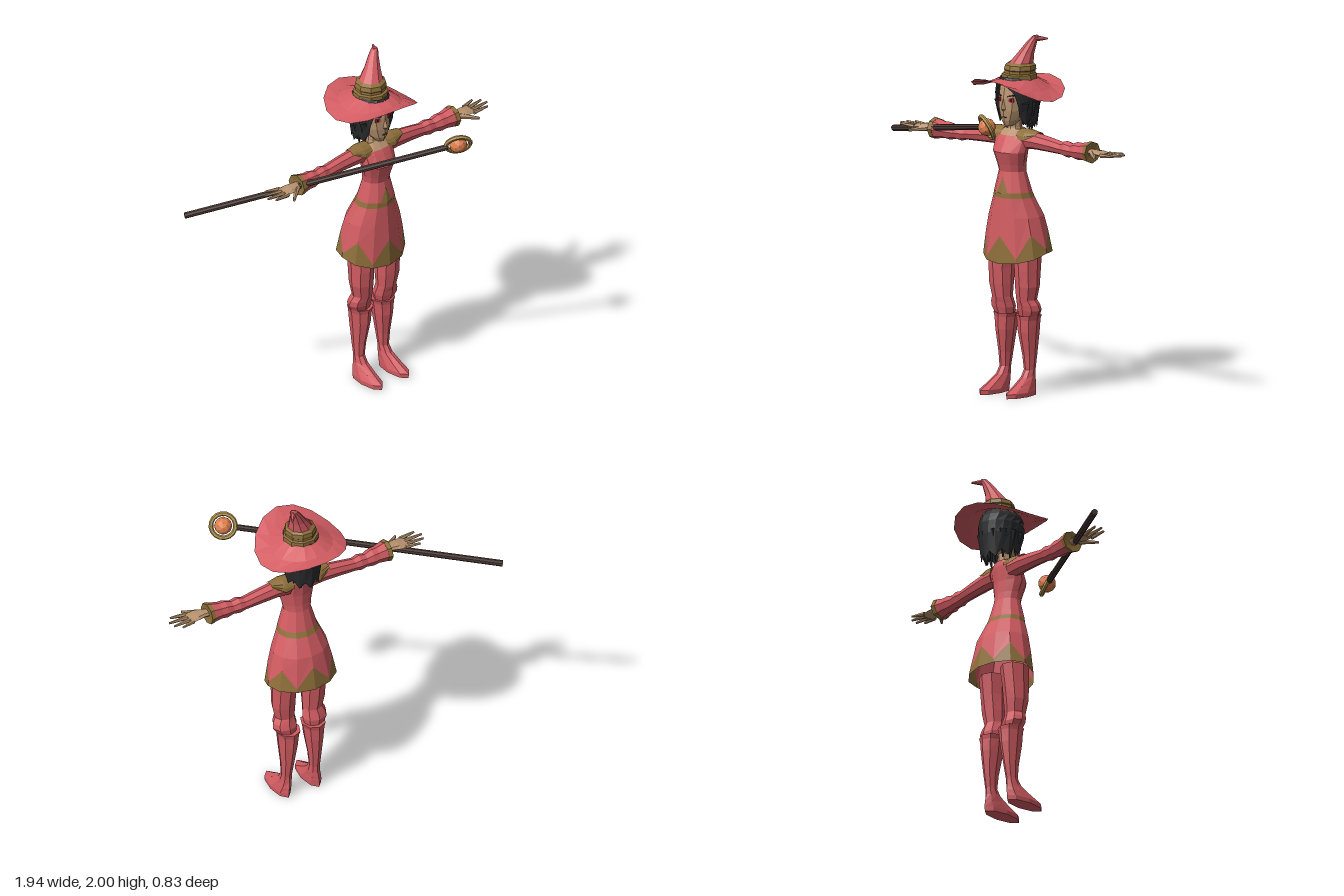
import * as THREE from 'three';

const mat = (name, color) => new THREE.MeshStandardMaterial({ name, color, side: THREE.DoubleSide });
const V = (x, y, z) => new THREE.Vector3(x, y, z);
const rad = THREE.MathUtils.degToRad;

// Faceted copy of a geometry
function flat(geo) {
  const g = geo.index ? geo.toNonIndexed() : geo;
  g.computeVertexNormals();
  return g;
}

// Skin of quads through rows of points; s = -1 mirrors it in x
function loft(rows, { cap = false, s = 1 } = {}) {
  const p = [];
  const tri = (a, b, c) => (s > 0 ? [a, b, c] : [a, c, b]).forEach(v => p.push(v.x * s, v.y, v.z));
  for (let j = 0; j < rows.length - 1; j++) {
    for (let i = 0; i < rows[j].length - 1; i++) {
      const a = rows[j][i], b = rows[j][i + 1], c = rows[j + 1][i + 1], d = rows[j + 1][i];
      tri(a, b, c); tri(a, c, d);
    }
  }
  if (cap) [[rows[0], true], [rows.at(-1), false]].forEach(([r, low]) => {
    const m = V(0, 0, 0);
    r.slice(1).forEach(v => m.addScaledVector(v, 1 / (r.length - 1)));
    for (let i = 0; i < r.length - 1; i++) low ? tri(m, r[i + 1], r[i]) : tri(m, r[i], r[i + 1]);
  });
  const g = new THREE.BufferGeometry();
  g.setAttribute('position', new THREE.Float32BufferAttribute(p, 3));
  return flat(g);
}

const arc = (n, a0, a1, f) => Array.from({ length: n + 1 }, (_, i) => f(rad(a0 + (a1 - a0) * i / n), i));

// Level ring, angle 0 faces the front
const ring = (y, cx, rx, zf, zb, n = 10, a0 = 0, a1 = 360) => arc(n, a0, a1, t =>
  V(cx + rx * Math.sin(t), y, (zf + zb) / 2 + (zf - zb) / 2 * Math.cos(t)));

// Upright ring around the x axis, for the arms
const armRing = (x, y, z, ry, rz, a0 = 0, a1 = 360, n = 8) => arc(n, a0, a1, t =>
  V(x, y - ry * Math.sin(t), z + rz * Math.cos(t)));

// Tapered rod between two points
function rod(a, b, ra, rb, n = 6) {
  const d = b.clone().sub(a);
  const g = new THREE.CylinderGeometry(rb, ra, d.length(), n);
  g.applyQuaternion(new THREE.Quaternion().setFromUnitVectors(V(0, 1, 0), d.normalize()));
  const m = a.clone().add(b).multiplyScalar(0.5);
  return flat(g.translate(m.x, m.y, m.z));
}

// Dress outline: height, half width, front z, back z
const DRESS = [
  [0.72, 0.217, 0.028, -0.31], [0.80, 0.21, 0.024, -0.30], [0.90, 0.19, 0.018, -0.285], [1.0, 0.165, 0.01, -0.26],
  [1.105, 0.121, 0.002, -0.21], [1.135, 0.112, 0, -0.195], [1.25, 0.08, -0.022, -0.162], [1.29, 0.087, -0.012, -0.158],
  [1.36, 0.106, 0.01, -0.158], [1.43, 0.112, -0.028, -0.165], [1.45, 0.11, -0.04, -0.166], [1.485, 0.062, -0.075, -0.16]];
function onDress(y, t) {
  let i = 0;
  while (i < DRESS.length - 2 && y > DRESS[i + 1][0]) i++;
  const A = DRESS[i], B = DRESS[i + 1], k = (y - A[0]) / (B[0] - A[0]);
  const [rx, zf, zb] = [1, 2, 3].map(j => A[j] + (B[j] - A[j]) * k);
  return V(rx * Math.sin(t), y, (zf + zb) / 2 + (zf - zb) / 2 * Math.cos(t));
}
const dressRow = (y, a0 = 0, a1 = 360, n = 12) =>
  arc(n, a0, a1, (t, i) => onDress(typeof y === 'function' ? y(t, i) : y, t));

export function createModel() {
  const red = mat('red cloth', 0xd25c62), gold = mat('dull gold trim', 0x8e6f3a), skin = mat('skin', 0xb8936f);
  const black = mat('black hair', 0x2a2b2d), wood = mat('dark wood', 0x4c3a35), orange = mat('orange orb', 0xe0804e);
  const brass = mat('brass', 0xb2924f), eyeRed = mat('red iris', 0xc8203c);
  const model = new THREE.Group(), body = new THREE.Group();
  body.name = 'body';
  body.position.x = 0.165;
  model.add(body);
  const add = (name, geo, m, parent = body) => {
    const mesh = new THREE.Mesh(geo, m);
    mesh.name = name;
    parent.add(mesh);
    return mesh;
  };

  // Dress with a toothed hem
  const hem = t => 0.80 - 0.06 * Math.max(0, Math.cos(t));
  const teeth = (t, i) => i % 2 ? hem(t) + 0.022 : 0.915 - 0.02 * Math.cos(t);
  add('hemTrim', loft([dressRow(hem), dressRow(teeth)]), gold);
  add('skirt', loft([dressRow(teeth), dressRow(1.0), dressRow(1.105)]), red);
  add('belt', loft([dressRow(1.105), dressRow(1.135)]), gold);
  add('bodice', loft([1.135, 1.25, 1.29, 1.36, 1.43, 1.45].map(y => dressRow(y))), red);
  add('upperBack', loft([dressRow(1.45, 60, 300, 8), dressRow(1.485, 60, 300, 8)]), red);
  add('neckline', loft([dressRow(1.45, -60, 60, 4), dressRow(1.485, -60, 60, 4)]), skin);
  add('beltPoint', loft([[V(-0.04, 1.13, -0.004), V(0, 1.13, 0.006), V(0.04, 1.13, -0.004)],
    arc(2, 0, 0, () => V(0, 1.22, -0.011))]), gold);

  // Neck and head
  add('neck', loft([ring(1.45, 0, 0.05, -0.06, -0.16, 8), ring(1.49, 0, 0.038, -0.075, -0.15, 8),
    ring(1.55, 0, 0.036, -0.07, -0.15, 8)]), skin);
  add('head', loft([ring(1.505, 0, 0.024, -0.032, -0.10), ring(1.535, 0, 0.05, -0.02, -0.15),
    ring(1.59, 0, 0.076, -0.014, -0.20), ring(1.66, 0, 0.085, -0.015, -0.22),
    ring(1.72, 0, 0.082, -0.025, -0.22), ring(1.77, 0, 0.06, -0.06, -0.20)], { cap: true }), skin);
  add('nose', loft([arc(2, 0, 0, () => V(0, 1.588, -0.012)), [V(-0.014, 1.598, -0.018), V(0, 1.603, 0.006), V(0.014, 1.598, -0.018)],
    arc(2, 0, 0, () => V(0, 1.66, -0.014))]), skin);
  const plate = (name, w, h, x, y, z, ry, rz, m) => {
    const p = add(name, new THREE.BoxGeometry(w, h, 0.006), m);
    p.position.set(x, y, z);
    p.rotation.set(0, ry, rz);
  };
  plate('mouth', 0.034, 0.005, 0, 1.555, -0.017, 0, 0, wood);
  for (const s of [1, -1]) {
    plate('eye', 0.03, 0.02, s * 0.043, 1.652, -0.029, s * 0.38, 0, eyeRed);
    plate('pupil', 0.009, 0.018, s * 0.043, 1.652, -0.026, s * 0.38, 0, black);
    plate('brow', 0.042, 0.007, s * 0.042, 1.676, -0.029, s * 0.38, s * 0.2, black);
  }

  // Hair parted at the front, with hanging locks
  const hairRow = (y, rx, zf, zb, open) => ring(y, 0, rx, zf, zb, 14, open, 360 - open);
  const ends = hairRow(1.55, 0.1, -0.02, -0.25, 50);
  ends.forEach((v, i) => { v.y += (i % 2 ? -0.03 : 0.01) - 0.05 * Math.sin(Math.PI * i / 14); });
  add('hair', loft([ends, hairRow(1.62, 0.117, -0.005, -0.268, 45), hairRow(1.69, 0.118, 0, -0.27, 36),
    hairRow(1.735, 0.108, -0.002, -0.26, 10), hairRow(1.775, 0.085, -0.03, -0.235, 0)]), black);
  for (let i = 0; i < 9; i++) {
    const t = rad(68 + 28 * i), c = Math.cos(t), q = Math.sin(t);
    add('hairLock', rod(V(0.102 * q, 1.64, -0.13 + 0.115 * c),
      V(0.08 * q, 1.50 + 0.03 * c - (i % 2) * 0.015, -0.13 + 0.085 * c), 0.03, 0.004, 5), black);
  }

  // Wide drooping brim, banded crown and bent tip
  const brimRow = (k, rx, rz, cz, y0, front, back) => arc(16, 0, 360, t => {
    const c = Math.cos(t);
    return V(rx * Math.sin(t), y0 + (c > 0 ? front : back) * c * c - k * Math.sin(t), cz + rz * c);
  });
  add('hatBrim', loft([brimRow(0.018, 0.253, 0.267, -0.137, 1.672, 0.113, 0.073),
    brimRow(0.01, 0.175, 0.185, -0.14, 1.71, 0.045, 0.02), brimRow(0, 0.095, 0.1, -0.143, 1.765, 0, 0)]), red);
  const hatRing = (y, r, cx, cz) => ring(y, cx, r, cz + r, cz - r, 9);
  add('hatBand', loft([hatRing(1.75, 0.1, 0.005, -0.143), hatRing(1.785, 0.099, 0.005, -0.143), hatRing(1.79, 0.086, 0.007, -0.145),
    hatRing(1.805, 0.086, 0.008, -0.145), hatRing(1.81, 0.091, 0.008, -0.146), hatRing(1.835, 0.086, 0.01, -0.147),
    hatRing(1.848, 0.068, 0.012, -0.148)]), gold);
  add('hatCone', loft([hatRing(1.84, 0.07, 0.012, -0.148), hatRing(1.90, 0.047, 0.035, -0.163),
    hatRing(1.96, 0.03, 0.06, -0.182), hatRing(1.992, 0.02, 0.078, -0.193), hatRing(2.0, 0.008, 0.085, -0.198)], { cap: true }), red);
  add('hatTip', rod(V(0.075, 1.982, -0.185), V(0.118, 1.977, -0.25), 0.02, 0.005), red);

  for (const s of [1, -1]) {
    const arm = new THREE.Group(), leg = new THREE.Group();
    arm.name = s > 0 ? 'leftArm' : 'rightArm';
    leg.name = s > 0 ? 'leftLeg' : 'rightLeg';
    body.add(arm, leg);

    // Sleeve, shoulder trim and cuff
    add('sleeve', loft([[0.07, 1.425, -0.11, 0.05, 0.052], [0.15, 1.428, -0.11, 0.048, 0.047], [0.25, 1.42, -0.112, 0.043, 0.042],
      [0.35, 1.41, -0.112, 0.036, 0.039], [0.385, 1.41, -0.11, 0.046, 0.045], [0.425, 1.408, -0.108, 0.038, 0.041],
      [0.465, 1.41, -0.105, 0.05, 0.05], [0.5, 1.412, -0.103, 0.047, 0.05], [0.553, 1.415, -0.1, 0.057, 0.061]]
      .map(a => armRing(...a)), { s }), red, arm);
    add('shoulderTrim', loft([armRing(0.055, 1.432, -0.11, 0.056, 0.06, 185, 355), armRing(0.11, 1.43, -0.11, 0.06, 0.062, 180, 360),
      armRing(0.182, 1.428, -0.11, 0.051, 0.05, 225, 315)], { s }), gold, arm);
    add('cuff', loft([armRing(0.55, 1.415, -0.1, 0.058, 0.062), armRing(0.575, 1.415, -0.1, 0.061, 0.066),
      armRing(0.57, 1.415, -0.1, 0.03, 0.035)], { s, cap: true }), gold, arm);

    // Flat open hand
    add('palm', loft([armRing(0.55, 1.415, -0.095, 0.02, 0.026), armRing(0.60, 1.42, -0.092, 0.017, 0.032),
      armRing(0.64, 1.421, -0.088, 0.015, 0.046), armRing(0.69, 1.417, -0.09, 0.011, 0.046)], { s, cap: true }), skin, arm);
    [[0.68, -0.05, 0.775, -0.042], [0.685, -0.077, 0.802, -0.08], [0.685, -0.104, 0.792, -0.118], [0.675, -0.127, 0.755, -0.15]]
      .forEach(([x0, z0, x1, z1]) => add('finger', rod(V(s * x0, 1.417, z0), V(s * x1, 1.423, z1), 0.013, 0.006), skin, arm));
    add('thumb', rod(V(s * 0.60, 1.415, -0.07), V(s * 0.68, 1.402, 0), 0.018, 0.007), skin, arm);

    // Trouser leg gathered over the knee
    add('trouser', loft([[0.43, 0.086, 0.055, -0.08, -0.18], [0.475, 0.094, 0.074, -0.066, -0.185], [0.505, 0.094, 0.07, -0.06, -0.175],
      [0.535, 0.088, 0.058, -0.052, -0.165], [0.61, 0.094, 0.069, -0.04, -0.175], [0.70, 0.094, 0.07, -0.033, -0.186],
      [0.82, 0.09, 0.076, -0.03, -0.20]].map(a => ring(...a, 8)), { s, cap: true }), red, leg);
    // Tall boot
    add('boot', loft([[0, 0.097, 0.046, 0.07, -0.172], [0.025, 0.097, 0.048, 0.072, -0.175], [0.06, 0.094, 0.04, 0, -0.174],
      [0.10, 0.09, 0.033, -0.07, -0.168], [0.14, 0.089, 0.03, -0.098, -0.168], [0.22, 0.087, 0.037, -0.09, -0.182],
      [0.35, 0.082, 0.054, -0.066, -0.2], [0.42, 0.081, 0.062, -0.063, -0.203], [0.445, 0.08, 0.071, -0.058, -0.208],
      [0.44, 0.084, 0.05, -0.08, -0.18]].map(a => ring(...a, 8)), { s, cap: true }), red, leg);
  }

  // Staff with an orb in a hoop
  const staff = new THREE.Group();
  staff.name = 'staff';
  model.add(staff);
  add('shaft', rod(V(-0.967, 1.305, -0.4), V(0.315, 1.567, 0.33), 0.018, 0.017, 8), wood, staff);
  const centre = V(0.37, 1.577, 0.36);
  add('orb', flat(new THREE.IcosahedronGeometry(0.05, 1)), orange, staff).position.copy(centre);
  const hoop = add('hoop', flat(new THREE.TorusGeometry(0.068, 0.013, 6, 16)), brass, staff);
  hoop.position.copy(centre);
  hoop.quaternion.setFromUnitVectors(V(0, 0, 1), V(-0.45, -0.45, 0.78).normalize());
  return model;
}
